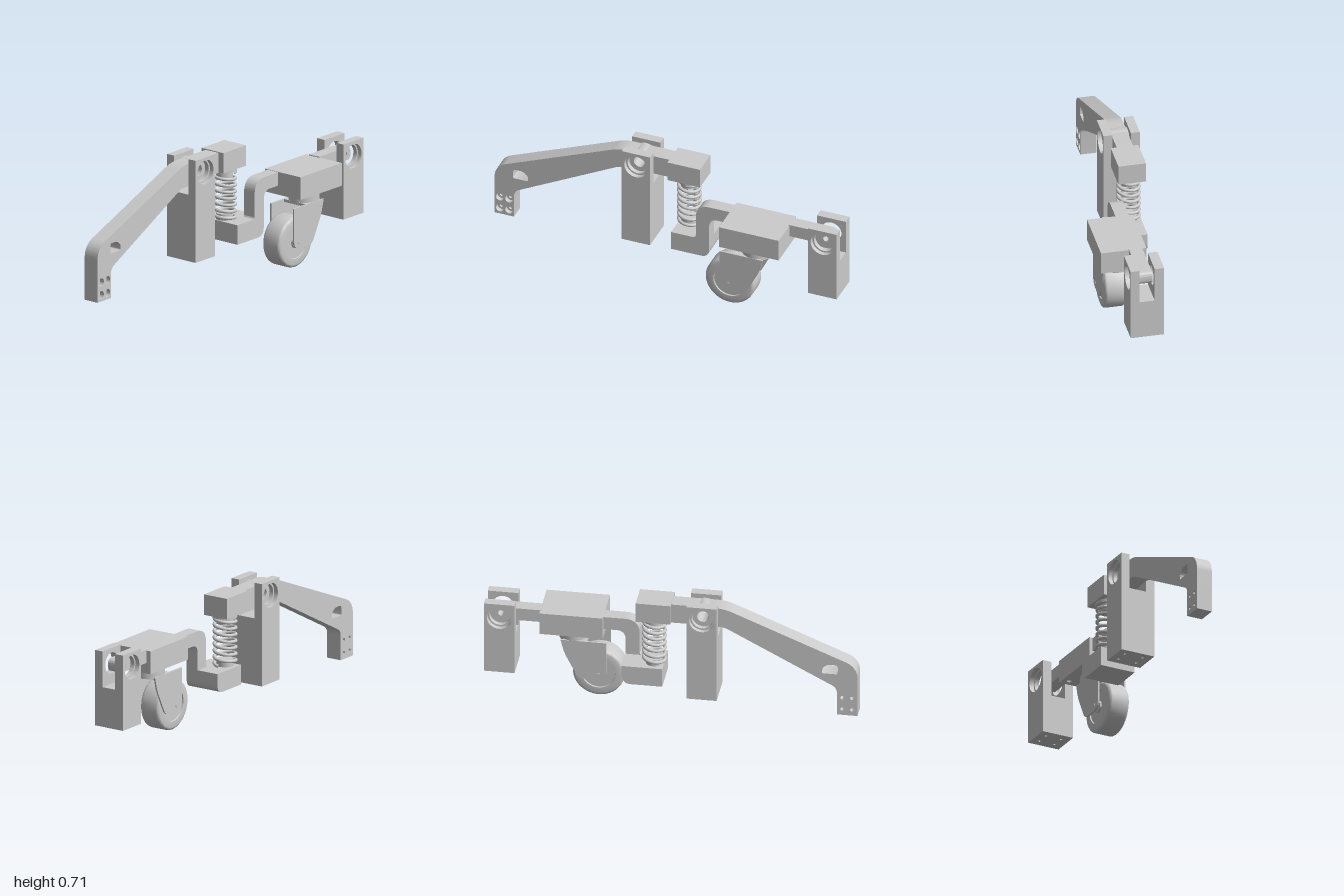
import * as THREE from 'three';
import { toCreasedNormals } from 'three/addons/utils/BufferGeometryUtils.js';

const mat = new THREE.MeshStandardMaterial({ color: 0xcccccc });

function add(parent, name, geo) {
  const m = new THREE.Mesh(geo, mat);
  m.name = name;
  parent.add(m);
  return m;
}
function group(parent, name) {
  const g = new THREE.Group();
  g.name = name;
  parent.add(g);
  return g;
}
// Box from its limits
function box(parent, name, x0, x1, y0, y1, z0, z1) {
  add(parent, name, new THREE.BoxGeometry(x1 - x0, y1 - y0, z1 - z0))
    .position.set((x0 + x1) / 2, (y0 + y1) / 2, (z0 + z1) / 2);
}
// Outline from [x, y, corner radius] points
function outline(pts, holes = []) {
  const s = new THREE.Shape(), n = pts.length;
  pts.forEach(([x, y, r = 0], i) => {
    const p = new THREE.Vector2(x, y);
    const toward = q => p.clone().add(new THREE.Vector2(q[0] - x, q[1] - y).setLength(r));
    const a = toward(pts[(i + n - 1) % n]), b = toward(pts[(i + 1) % n]);
    if (i === 0) s.moveTo(a.x, a.y); else s.lineTo(a.x, a.y);
    if (r > 0) s.quadraticCurveTo(x, y, b.x, b.y);
  });
  s.closePath();
  s.holes = holes;
  return s;
}
const circle = (x, y, r) => new THREE.Path().absarc(x, y, r, 0, Math.PI * 2, true);
const rect = (x0, x1, y0, y1) => [[x0, y0], [x1, y0], [x1, y1], [x0, y1]];

function extrude(shape, depth) {
  return toCreasedNormals(new THREE.ExtrudeGeometry(shape,
    { depth, bevelEnabled: false, curveSegments: 20 }), 0.6);
}
function slab(parent, name, shape, z0, z1) {
  add(parent, name, extrude(shape, z1 - z0)).position.z = z0;
}
// Horizontal plate with four drilled holes
function drilledPlate(parent, name, x0, x1, y0, y1, z0, z1, inset, r) {
  const holes = [];
  for (const x of [x0 + inset, x1 - inset])
    for (const z of [z0 + inset, z1 - inset]) holes.push(circle(x, z, r));
  const g = extrude(outline(rect(x0, x1, z0, z1), holes), y1 - y0);
  g.rotateX(Math.PI / 2);
  add(parent, name, g).position.y = y1;
}
function cylinder(parent, name, r, x, y0, y1, z) {
  add(parent, name, new THREE.CylinderGeometry(r, r, y1 - y0, 40))
    .position.set(x, (y0 + y1) / 2, z);
}

// Forked post with a stepped pivot bore through both prongs
function post(parent, name, x0, x1, top, z0, z1, s0, s1, pivotY) {
  const g = group(parent, name), floor = top - 0.195, base = 0.155;
  const cx = (x0 + x1) / 2;
  drilledPlate(g, 'postFoot', x0, x1, base, base + 0.04, z0, z1, 0.045, 0.008);
  box(g, 'postBody', x0, x1, base + 0.04, floor, z0, z1);
  const prong = r => outline(rect(x0, x1, floor, top), [circle(cx, pivotY, r)]);
  const m0 = (z0 + s0) / 2, m1 = (s1 + z1) / 2;
  slab(g, 'prongOuterBack', prong(0.066), z0, m0);
  slab(g, 'prongInnerBack', prong(0.057), m0, s0);
  slab(g, 'prongInnerFront', prong(0.057), s1, m1);
  slab(g, 'prongOuterFront', prong(0.066), m1, z1);
}

class Helix extends THREE.Curve {
  constructor(r, y0, y1, turns) { super(); Object.assign(this, { r, y0, y1, turns }); }
  getPoint(t, v = new THREE.Vector3()) {
    const a = t * this.turns * Math.PI * 2;
    return v.set(this.r * Math.cos(a), this.y0 + (this.y1 - this.y0) * t, this.r * Math.sin(a));
  }
}

export function createModel() {
  const root = new THREE.Group();
  root.name = 'leverMechanism';

  // Pivot posts
  post(root, 'pedalPost', -0.26, -0.10, 0.715, -0.193, 0.002, -0.145, -0.047, 0.635);
  post(root, 'casterPost', 0.832, 0.995, 0.567, -0.08, 0.10, -0.029, 0.052, 0.485);

  // Long bent lever, drilled foot with counterbores on the front
  const lever = group(root, 'longLever');
  const arm = holeR => {
    const holes = [circle(-0.18, 0.635, 0.032), outline([[-0.895, 0.345, 0.008],
      [-0.81, 0.345, 0.008], [-0.81, 0.375, 0.015], [-0.84, 0.4, 0.015], [-0.895, 0.4, 0.015]])];
    for (const x of [-0.97, -0.918])
      for (const y of [0.135, 0.205]) holes.push(circle(x, y, holeR));
    return outline([[-1, 0.1], [-0.89, 0.1], [-0.89, 0.262, 0.03], [-0.285, 0.58, 0.04],
      [0, 0.58], [0, 0.69], [-0.29, 0.69, 0.05], [-1, 0.397, 0.07]], holes);
  };
  slab(lever, 'leverBack', arm(0.01), -0.138, -0.075);
  slab(lever, 'leverFront', arm(0.022), -0.075, -0.05);
  const eye = new THREE.Shape().absarc(-0.18, 0.635, 0.06, 0, Math.PI * 2);
  eye.holes.push(circle(-0.18, 0.635, 0.032));
  slab(lever, 'leverEye', eye, -0.143, -0.049);
  box(lever, 'springHead', -0.01, 0.175, 0.583, 0.695, -0.165, -0.017);

  // Compression spring with its seats
  const spring = group(root, 'springAssembly');
  add(spring, 'coilSpring', new THREE.TubeGeometry(new Helix(0.057, 0.305, 0.562, 7.25), 260, 0.009, 10))
    .position.set(0.087, 0, -0.09);
  cylinder(spring, 'upperSeat', 0.066, 0.087, 0.566, 0.584, -0.09);
  cylinder(spring, 'upperBoss', 0.045, 0.087, 0.53, 0.567, -0.09);
  cylinder(spring, 'lowerBoss', 0.045, 0.087, 0.298, 0.335, -0.09);

  // Cranked arm carrying the caster
  const crank = group(root, 'casterArm');
  slab(crank, 'crankedBar', outline([[0.035, 0.193], [0.25, 0.193, 0.05], [0.25, 0.44, 0.05],
    [0.38, 0.44], [0.38, 0.513], [0.175, 0.513, 0.08], [0.175, 0.3, 0.015], [0.035, 0.3]]), -0.03, 0.042);
  slab(crank, 'springFootBlock', outline([[0.035, 0.193], [0.25, 0.193, 0.05],
    [0.25, 0.3], [0.035, 0.3]]), -0.157, -0.03);
  box(crank, 'mountBlock', 0.368, 0.705, 0.41, 0.515, -0.05, 0.195);
  drilledPlate(crank, 'mountUnderside', 0.368, 0.705, 0.39, 0.41, -0.05, 0.195, 0.04, 0.013);
  slab(crank, 'pivotBar', outline([[0.70, 0.449], [0.955, 0.449, 0.03], [0.955, 0.52, 0.03], [0.70, 0.52]],
    [circle(0.912, 0.485, 0.016)]), -0.026, 0.045);

  // Caster: swivel, fork, axle and wheel
  const caster = group(root, 'caster'), zc = 0.077;
  cylinder(caster, 'swivelNeck', 0.066, 0.537, 0.37, 0.392, zc);
  cylinder(caster, 'swivelCup', 0.082, 0.537, 0.325, 0.377, zc);
  box(caster, 'forkCrown', 0.46, 0.585, 0.322, 0.337, -0.004, 0.16);
  const cheek = outline([[0.357, 0.111, 0.05], [0.505, 0.111, 0.03], [0.58, 0.26, 0.03],
    [0.6, 0.337], [0.357, 0.337]]);
  slab(caster, 'forkCheekBack', cheek, -0.005, 0.004);
  slab(caster, 'forkCheekFront', cheek, 0.151, 0.16);
  const axle = add(caster, 'axle', new THREE.CylinderGeometry(0.012, 0.012, 0.17, 24));
  axle.rotation.x = Math.PI / 2;
  axle.position.set(0.402, 0.14, zc);
  // Half of the tyre section (radius, half width), mirrored
  const half = [[0.005, 0.062], [0.03, 0.062], [0.032, 0.052], [0.088, 0.052], [0.09, 0.059],
    [0.122, 0.059], [0.131, 0.056], [0.136, 0.051], [0.138, 0.043]];
  const section = [...half.map(([r, w]) => [r, -w]), ...half.slice().reverse()];
  const tyre = toCreasedNormals(new THREE.LatheGeometry(
    section.map(p => new THREE.Vector2(...p)), 64), 0.6);
  const wheel = add(caster, 'wheel', tyre);
  wheel.rotation.x = Math.PI / 2;
  wheel.position.set(0.402, 0.14, zc);

  return root;
}
